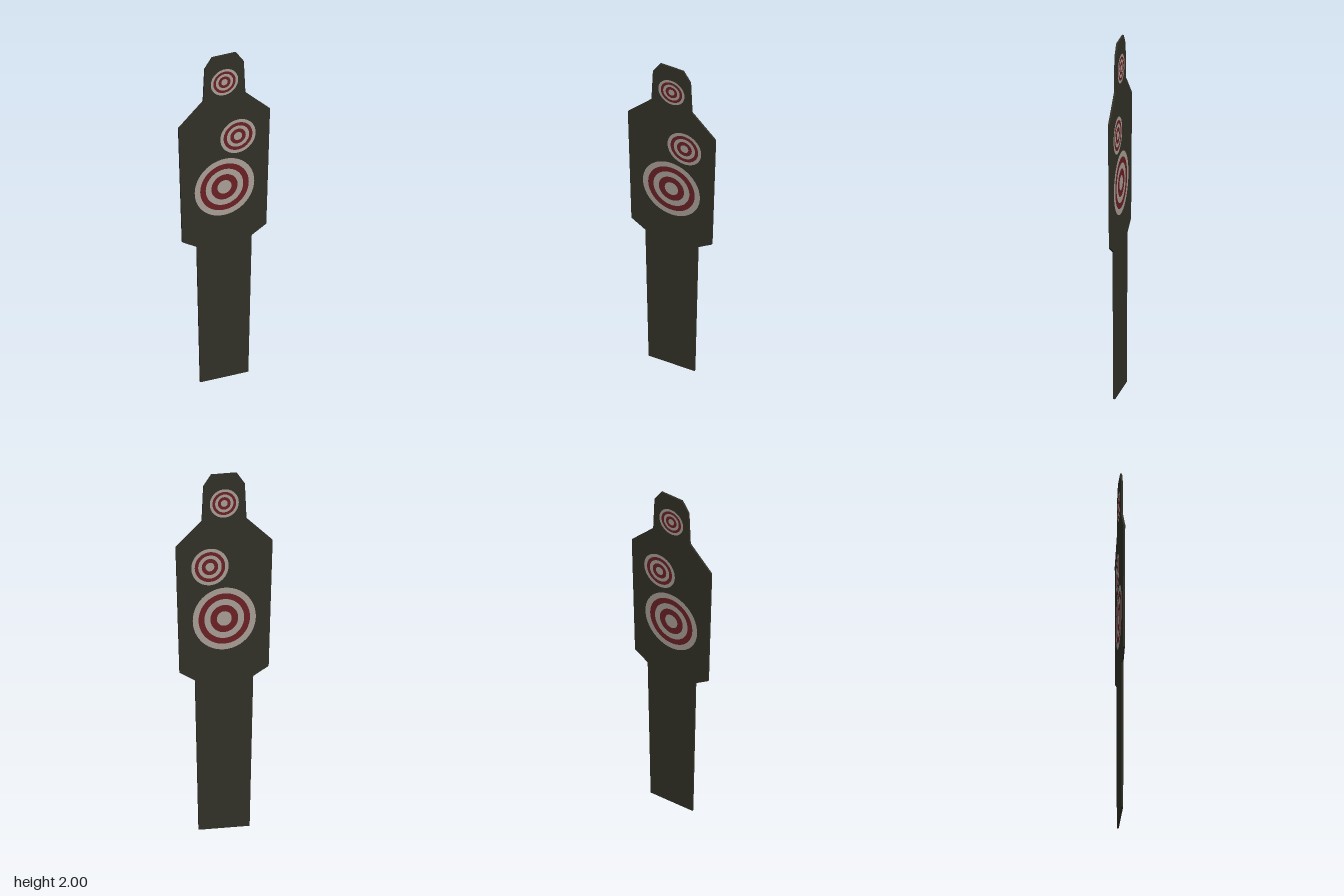
import * as THREE from 'three';

const HALF = 0.005; // half the board thickness
const FACE = 0.0065; // distance of the painted faces from the centre plane

export function createModel() {
  const olive = new THREE.MeshStandardMaterial({ name: 'darkOlive', color: 0x323127 });
  const white = new THREE.MeshStandardMaterial({ name: 'offWhite', color: 0xa99e96 });
  const red = new THREE.MeshStandardMaterial({ name: 'darkRed', color: 0x6a2024 });
  const model = new THREE.Group();
  model.name = 'silhouetteTarget';

  // Board: half outline from foot to crown, mirrored across x
  const side = [
    [0.14, 0], [0.16, 0.845], [0.245, 0.895], [0.267, 1.605],
    [0.123, 1.74], [0.114, 1.937], [0.07, 2],
  ];
  const outline = [...side, ...side.map(([x, y]) => [-x, y]).reverse()];
  const shape = new THREE.Shape(outline.map(([x, y]) => new THREE.Vector2(x, y)));
  const boardGeometry = new THREE.ExtrudeGeometry(shape, { depth: HALF * 2, bevelEnabled: false });
  boardGeometry.translate(0, 0, -HALF);
  const board = new THREE.Mesh(boardGeometry, olive);
  board.name = 'board';
  model.add(board);

  // Bullseye: alternating flat rings around a white centre, on both faces
  const steps = [1, 0.815, 0.63, 0.44, 0.235, 0];
  function addBullseye(name, x, y, radius) {
    for (const facing of [1, -1]) {
      const bullseye = new THREE.Group();
      bullseye.name = name + (facing > 0 ? 'Front' : 'Back');
      for (let i = 0; i < steps.length - 1; i++) {
        const outer = steps[i] * radius;
        const inner = steps[i + 1] * radius;
        const geometry = inner > 0
          ? new THREE.RingGeometry(inner, outer, 48)
          : new THREE.CircleGeometry(outer, 48);
        const ring = new THREE.Mesh(geometry, i % 2 ? red : white);
        ring.name = inner > 0 ? 'ring' + (i + 1) : 'centre';
        bullseye.add(ring);
      }
      bullseye.position.set(x, y, facing * FACE);
      if (facing < 0) bullseye.rotation.y = Math.PI;
      model.add(bullseye);
    }
  }
  addBullseye('headBullseye', 0, 1.833, 0.08);
  addBullseye('heartBullseye', 0.079, 1.48, 0.103);
  addBullseye('bellyBullseye', 0, 1.183, 0.174);

  return model;
}
